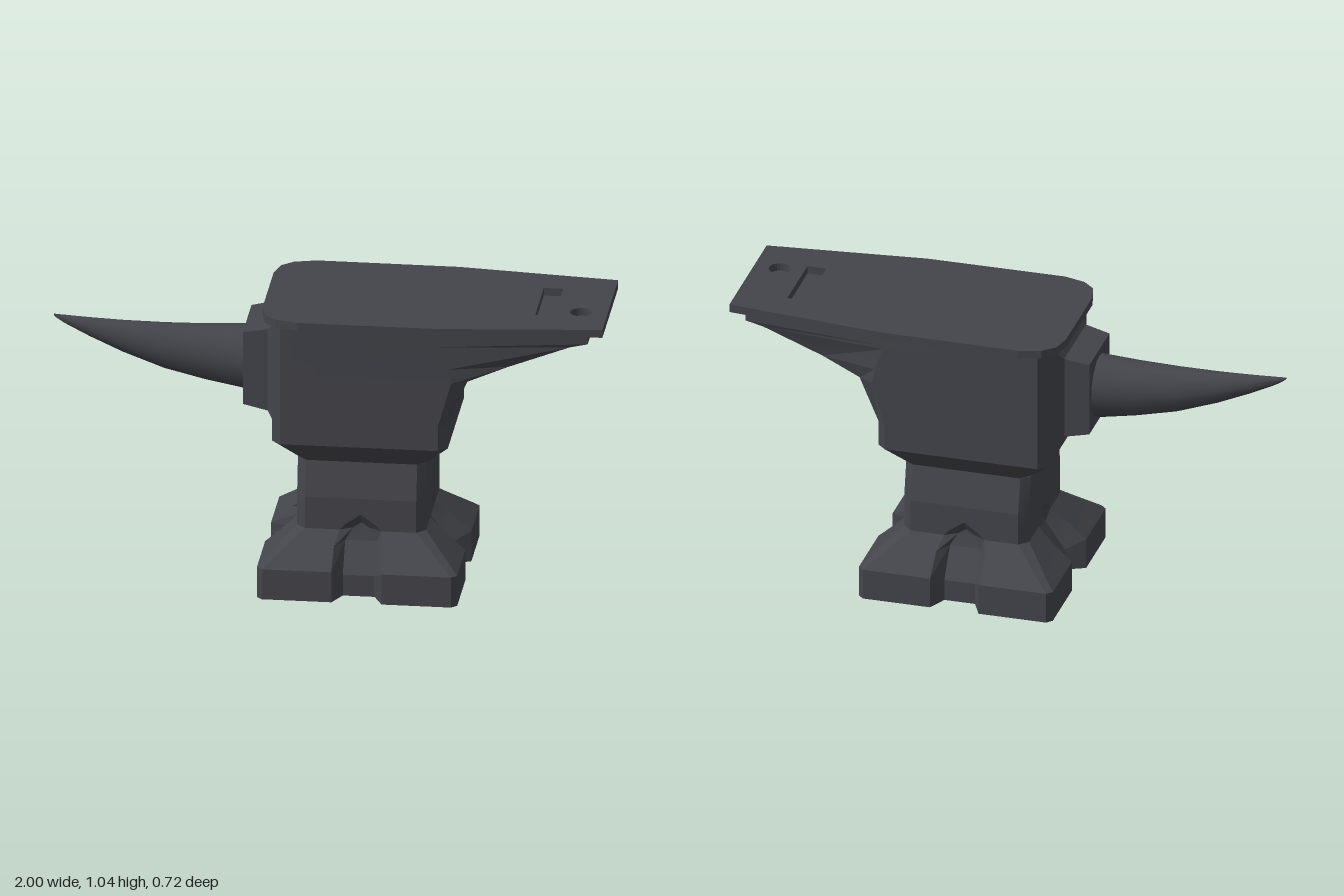
import * as THREE from 'three';
import { toCreasedNormals } from 'three/addons/utils/BufferGeometryUtils.js';

// Skin a stack of matching loops (counter-clockwise about the stacking direction) and cap both ends.
function loft(loops, crease) {
  const pos = [];
  const tri = (a, b, c) => {
    const area = b.clone().sub(a).cross(c.clone().sub(a)).length();
    if (area > 1e-8) for (const p of [a, b, c]) pos.push(p.x, p.y, p.z);
  };
  const centre = (loop) => loop.reduce((s, p) => s.add(p), new THREE.Vector3()).divideScalar(loop.length);
  const n = loops[0].length;
  const first = loops[0], last = loops[loops.length - 1];
  const c0 = centre(first), c1 = centre(last);
  for (let i = 0; i < n; i++) {
    const j = (i + 1) % n;
    for (let k = 0; k + 1 < loops.length; k++) {
      const a = loops[k], b = loops[k + 1];
      tri(a[i], a[j], b[j]);
      tri(a[i], b[j], b[i]);
    }
    tri(c0, first[j], first[i]);
    tri(c1, last[i], last[j]);
  }
  const geo = new THREE.BufferGeometry();
  geo.setAttribute('position', new THREE.Float32BufferAttribute(pos, 3));
  return toCreasedNormals(geo, crease);
}

// Square base level: half size r, corner cut c, and on each side a groove
// of half width w at its mouth and v at its floor, which lies at distance g.
function baseLoop([y, r, c, w, v, g, zScale = 1]) {
  const side = [[r, c - r], [r, -w], [g, -v], [g, v], [r, w], [r, r - c]];
  const loop = [];
  for (let q = 0; q < 4; q++) {
    const co = [1, 0, -1, 0][q], si = [0, 1, 0, -1][q];
    for (const [a, t] of side) {
      loop.push(new THREE.Vector3(0.13 + a * co - t * si, y, -(a * si + t * co) * zScale));
    }
  }
  return loop;
}

// Body level: left end xl, side corner xs, heel end xr, half widths zs and ze.
function bodyLoop([y, xl, xs, xr, zs, ze]) {
  const c = 0.033;
  const half = [[xr, ze], [xs, zs], [xl + c, zs], [xl, zs - c]];
  const back = half.map(([x, z]) => new THREE.Vector3(x, y, -z));
  const front = half.map(([x, z]) => new THREE.Vector3(x, y, z)).reverse();
  return [...back, ...front];
}

export function createModel() {
  const model = new THREE.Group();
  const iron = new THREE.MeshStandardMaterial({ color: 0x44454b });
  const add = (name, geometry) => {
    const mesh = new THREE.Mesh(geometry, iron);
    mesh.name = name;
    model.add(mesh);
    return mesh;
  };

  // Foot with four arched grooves, rising into the waist
  add('footAndWaist', loft([
    [0, 0.36, 0.02, 0.09, 0.057, 0.29],
    [0.08, 0.36, 0.02, 0.09, 0.057, 0.29],
    [0.115, 0.36, 0.02, 0.09, 0.057, 0.267],
    [0.185, 0.281, 0.027, 0.09, 0.057, 0.218],
    [0.23, 0.232, 0.032, 0.075, 0.03, 0.205],
    [0.25, 0.232, 0.032, 0.056, 0, 0.203],
    [0.29, 0.232, 0.032, 0, 0, 0.232],
    [0.35, 0.232, 0.032, 0, 0, 0.232],
    [0.48, 0.232, 0.032, 0, 0, 0.232, 0.87],
  ].map(baseLoop), 0.2));

  // Body flaring out of the waist, with the overhanging heel
  add('body', loft([
    [0.48, -0.10, 0.33, 0.362, 0.202, 0.172],
    [0.565, -0.187, 0.413, 0.445, 0.275, 0.245],
    [0.66, -0.187, 0.413, 0.445, 0.275, 0.245],
    [0.825, -0.187, 0.46, 0.515, 0.275, 0.245],
    [0.88, -0.187, 0.45, 0.66, 0.275, 0.222],
    [0.965, -0.187, 0.42, 0.88, 0.275, 0.222],
    [0.98, -0.187, 0.42, 0.945, 0.275, 0.222],
    [1.016, -0.187, 0.42, 0.945, 0.275, 0.222],
  ].map(bodyLoop), 0.2));

  // Top plate with a square slot and a round hole
  const outline = [[1, 0.24], [0.42, 0.3], [-0.09, 0.302], [-0.17, 0.28], [-0.213, 0.24], [-0.23, 0.17]];
  const mirrored = outline.map(([x, z]) => [x, -z]).reverse();
  const toVec = ([x, z]) => new THREE.Vector2(x, z);
  const plateShape = new THREE.Shape([...outline, ...mirrored].map(toVec));
  const slot = [[0.745, -0.125], [0.815, -0.125], [0.815, 0.135], [0.745, 0.135]];
  plateShape.holes.push(new THREE.Path(slot.map(toVec)));
  const round = new THREE.Path();
  round.absarc(0.905, -0.08, 0.04, 0, Math.PI * 2, true);
  plateShape.holes.push(round);
  const plate = new THREE.ExtrudeGeometry(plateShape, { depth: 0.03, bevelEnabled: false, curveSegments: 12 });
  plate.rotateX(-Math.PI / 2).translate(0, 1.015, 0);
  add('topPlate', plate);

  // Block joining horn and body, flared where it meets the body
  add('hornBlock', loft([
    [-0.18, 0.595, 1.0, 0.18],
    [-0.195, 0.61, 0.975, 0.16],
    [-0.215, 0.638, 0.95, 0.14],
    [-0.305, 0.655, 0.932, 0.13],
  ].map(([x, lo, hi, h]) => [[-h, lo], [h, lo], [h, hi], [-h, hi]].map(
    ([z, y]) => new THREE.Vector3(x, y, z))), 0.2));

  // Curved tapering horn: x, lower edge, upper edge, half width
  add('horn', loft([
    [-0.3, 0.67, 0.907, 0.106],
    [-0.45, 0.697, 0.901, 0.088],
    [-0.6, 0.732, 0.9, 0.068],
    [-0.75, 0.786, 0.903, 0.046],
    [-0.87, 0.839, 0.909, 0.026],
    [-0.96, 0.884, 0.915, 0.011],
    [-0.99, 0.903, 0.917, 0.005],
    [-1, 0.913, 0.918, 0.002],
  ].map(([x, lo, hi, h]) => Array.from({ length: 16 }, (_, i) => {
    const a = (i / 16) * Math.PI * 2;
    return new THREE.Vector3(x, (lo + hi) / 2 + Math.sin(a) * (hi - lo) / 2, Math.cos(a) * h);
  })), 0.7));

  return model;
}
